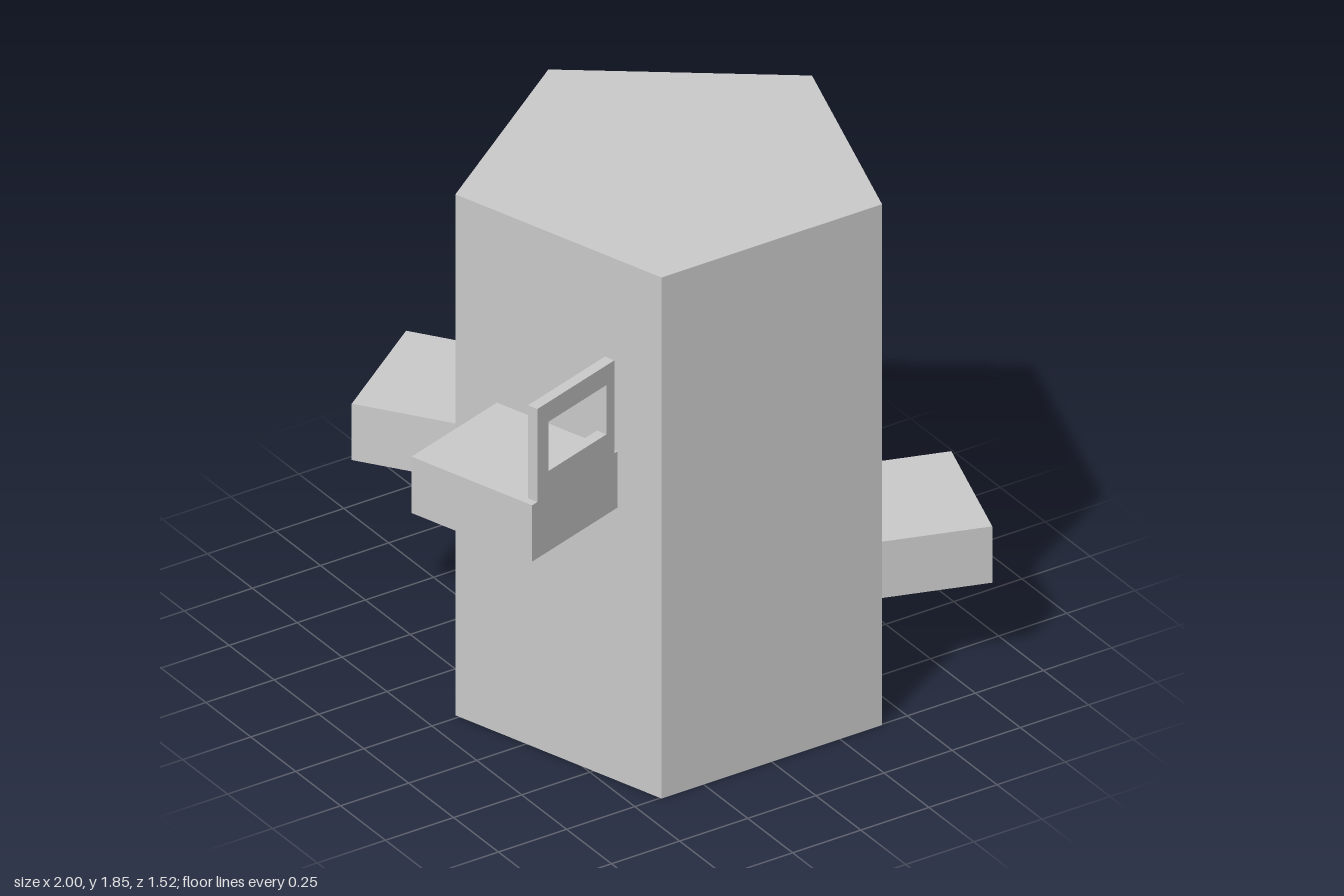
import * as THREE from 'three';

const RADIUS = 0.688, HEIGHT = 1.85, CENTRE_Z = 0.198;
const APOTHEM = RADIUS * Math.cos(Math.PI / 5);
const BLOCK_W = 0.473, BLOCK_H = 0.2;

export function createModel() {
  const model = new THREE.Group();
  const material = new THREE.MeshStandardMaterial({ color: 0xcccccc, flatShading: true });

  const add = (parent, name, geometry, x, y, z) => {
    const mesh = new THREE.Mesh(geometry, material);
    mesh.name = name;
    mesh.position.set(x, y, z);
    parent.add(mesh);
    return mesh;
  };

  // Five-sided column, one corner pointing to the back
  const column = add(model, 'column', new THREE.CylinderGeometry(RADIUS, RADIUS, HEIGHT, 5), 0, HEIGHT / 2, CENTRE_Z);
  column.rotation.y = Math.PI;

  // Ledges climbing around the column, one per side; local +z points outward
  const ledges = [
    { name: 'lowestLedge', side: 1, y: 0.33, shift: 0.032, reach: 0.962 },
    { name: 'secondLedge', side: 2, y: 0.48, shift: -0.022, reach: 0.978 },
    { name: 'thirdLedge', side: 3, y: 0.7, shift: -0.05, reach: 0.978 },
    { name: 'topLedge', side: 4, y: 0.97, shift: -0.005, reach: 0.976 },
  ];
  let topLedge;
  for (const { name, side, y, shift, reach } of ledges) {
    const group = new THREE.Group();
    group.name = name;
    group.position.set(0, y, CENTRE_Z);
    group.rotation.y = side * Math.PI * 2 / 5;
    const depth = reach - APOTHEM;
    add(group, name + 'Block', new THREE.BoxGeometry(BLOCK_W, BLOCK_H, depth), shift, BLOCK_H / 2, APOTHEM + depth / 2);
    model.add(group);
    topLedge = group;
  }

  // Upright window frame, flush with the front edge of the top ledge
  const rect = (Type, x0, y0, x1, y1) => new Type([[x0, y0], [x1, y0], [x1, y1], [x0, y1]].map(p => new THREE.Vector2(...p)));
  const outline = rect(THREE.Shape, 0.572, 0, 0.95, 0.33);
  outline.holes.push(rect(THREE.Path, 0.611, 0.085, 0.896, 0.26));
  const frame = new THREE.ExtrudeGeometry(outline, { depth: 0.037, bevelEnabled: false });
  add(topLedge, 'windowFrame', frame, 0.2315, BLOCK_H, 0).rotation.y = -Math.PI / 2;

  return model;
}
